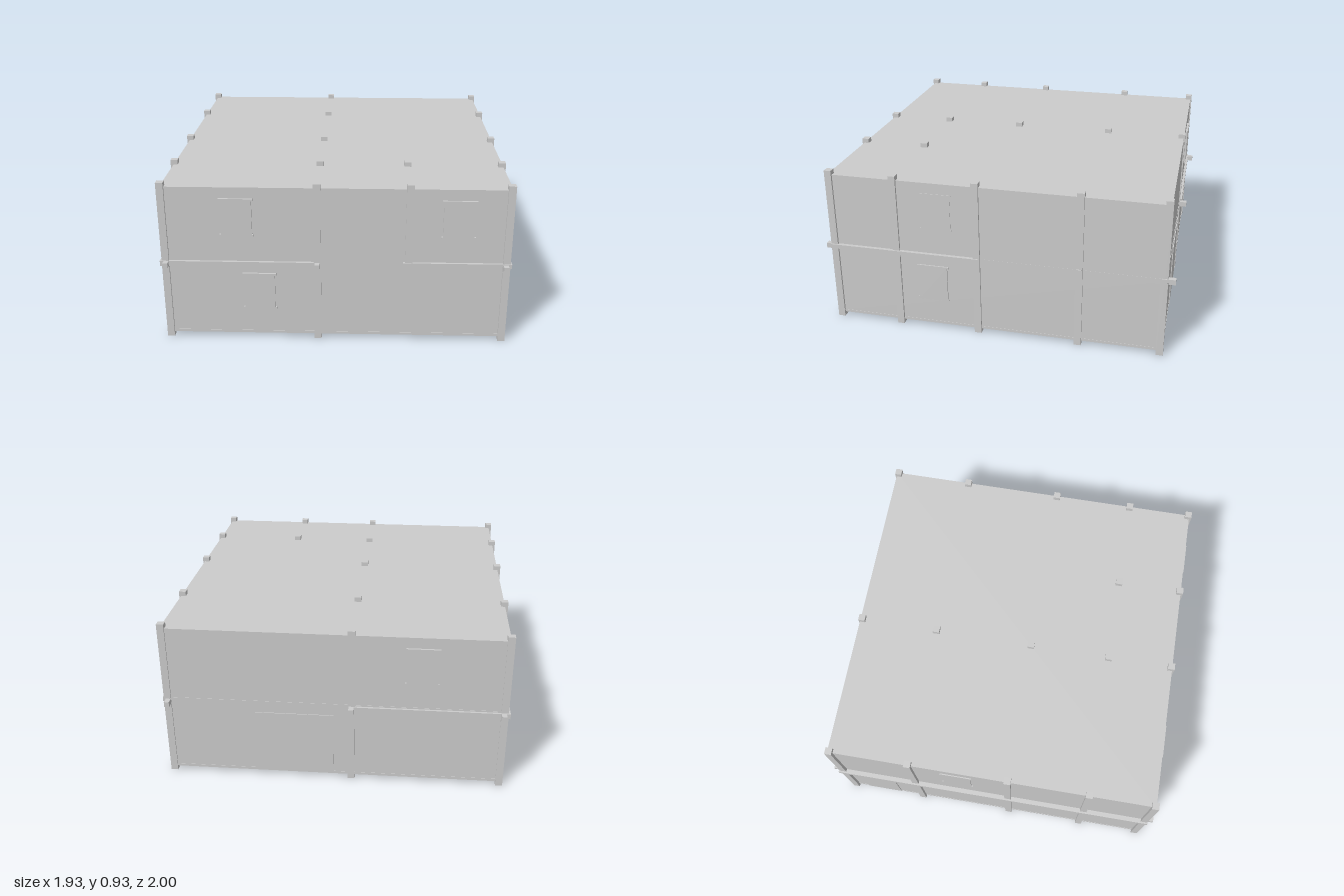
import * as THREE from 'three';

export function createModel() {
  const root = new THREE.Group();
  const mat = new THREE.MeshStandardMaterial({ color: 0xcccccc, flatShading: true });

  // Box given by its minimum and maximum on each axis
  function block(name, x0, x1, y0, y1, z0, z1, parent = root) {
    const m = new THREE.Mesh(new THREE.BoxGeometry(x1 - x0, y1 - y0, z1 - z0), mat);
    m.position.set((x0 + x1) / 2, (y0 + y1) / 2, (z0 + z1) / 2);
    m.name = name;
    parent.add(m);
    return m;
  }

  // Two storeys, ground slab and roof
  block('groundSlab', -0.945, 0.945, 0.025, 0.04, -0.955, 0.955);
  block('lowerStorey', -0.943, 0.943, 0.03, 0.46, -0.953, 0.953);
  block('upperStorey', -0.943, 0.943, 0.46, 0.89, -0.953, 0.953);
  block('roofSlab', -0.943, 0.943, 0.88, 0.907, -0.953, 0.953);

  // Columns, rising through the roof and reaching the ground
  const half = 0.02;
  const column = (x, z, y0, y1) =>
    block('column', x - half, x + half, y0, y1, z - half, z + half);
  const rows = [0.945, 0.57, 0.1, -0.48, -0.94];
  for (const x of [-0.94, -0.1, 0.935]) {
    for (const z of rows) {
      // the middle row stands inside, so only its ends show
      column(x, z, 0, 0.933);
    }
  }
  for (const z of [0.945, 0.57]) column(0.4, z, 0.475, 0.933);

  // Short footings under the floor
  for (const [x, z] of [[-0.26, -0.51], [-0.55, -0.51], [-0.65, -0.4], [-0.65, -0.11]]) {
    block('footing', x - half, x + half, 0, 0.04, z - half, z + half);
  }

  // Floor beams whose ends stick out of the front and back
  for (const x of [-0.935, -0.1, 0.93]) {
    block('floorBeam', x - 0.014, x + 0.014, 0.445, 0.475, -1, 1);
  }
  for (const z of [-0.48, -0.94]) {
    block('crossBeam', -0.955, 0.962, 0.455, 0.483, z - 0.015, z + 0.015);
  }

  // Ledges between the storeys
  block('frontLedge', -0.97, -0.08, 0.445, 0.475, 0.94, 0.968);
  block('frontShortLedge', 0.37, 0.962, 0.465, 0.48, 0.94, 0.968);
  block('backLedge', -0.97, -0.085, 0.445, 0.475, -0.968, -0.94);
  block('rightSideLedge', -0.97, -0.93, 0.445, 0.475, -0.968, 0.968);
  block('leftSideLedge', 0.93, 0.963, 0.455, 0.48, 0.09, 0.968);

  // Window: panel facing +z, with a slightly wider head and sill
  function addWindow(x, y, z, turn, depth = 0.012) {
    const g = new THREE.Group();
    g.name = 'window';
    block('windowPanel', -0.085, 0.085, -0.108, 0.108, -0.01, depth, g);
    for (const s of [-1, 1]) {
      block(s < 0 ? 'windowSill' : 'windowHead',
        -0.093, 0.093, s * 0.104 - 0.006, s * 0.104 + 0.006, -0.01, depth, g);
    }
    g.position.set(x, y, z);
    g.rotation.y = turn;
    root.add(g);
  }
  const quarter = Math.PI / 2;
  addWindow(-0.538, 0.735, 0.953, 0);
  addWindow(0.665, 0.735, 0.953, 0);
  addWindow(-0.422, 0.293, 0.953, 0);
  addWindow(-0.485, 0.735, -0.953, Math.PI);
  addWindow(-0.943, 0.735, -0.205, -quarter, 0.006);
  addWindow(0.943, 0.292, 0.36, quarter, 0.008);
  addWindow(0.943, 0.735, 0.33, quarter, 0.003);

  // Door panels
  block('backDoor', 0, 0.44, 0.03, 0.41, -0.958, -0.94);
  block('sideDoor', -0.949, -0.93, 0.03, 0.36, -0.85, -0.63);

  return root;
}
